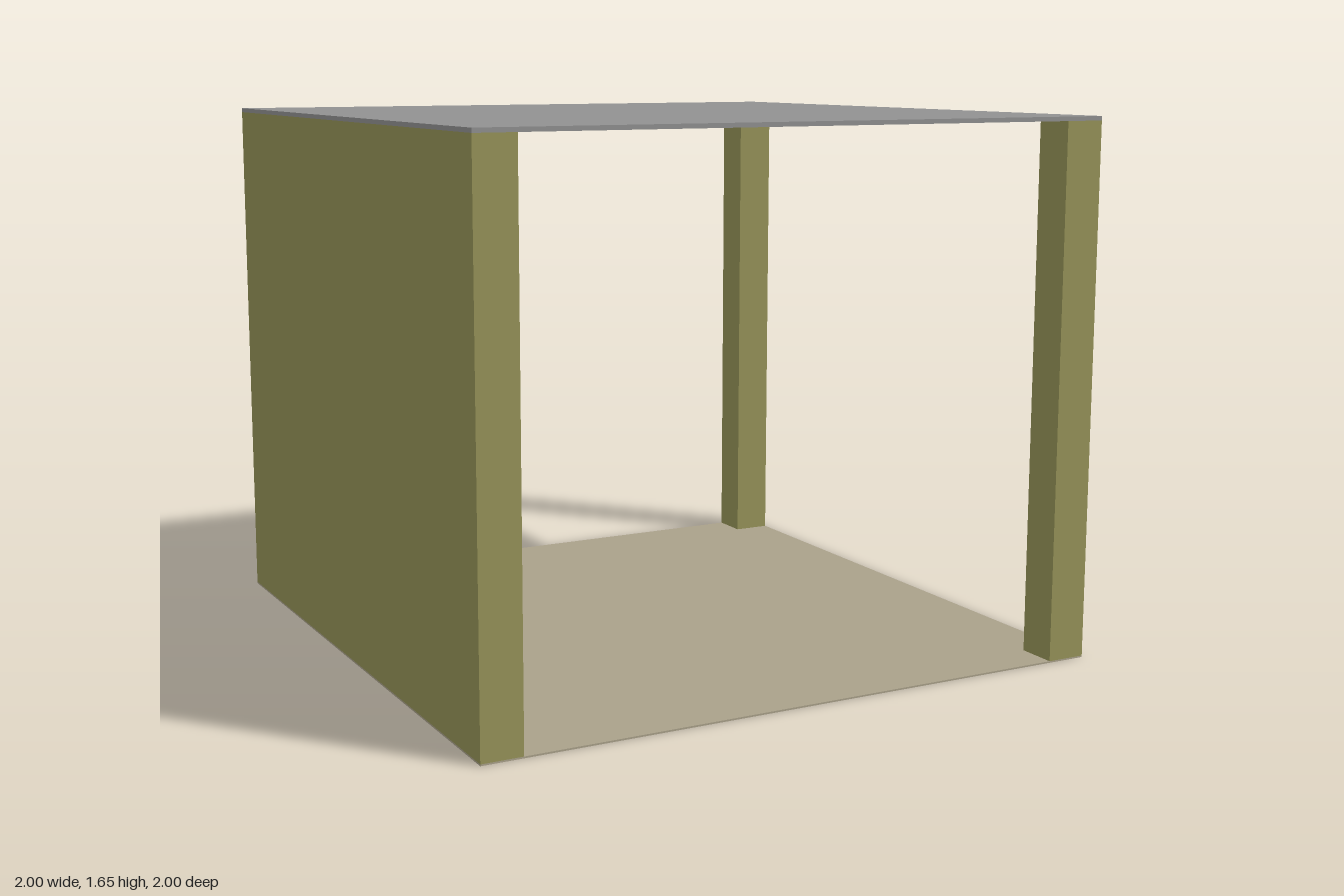
import * as THREE from 'three';

const material = (name, color) => {
  const m = new THREE.MeshStandardMaterial({ color });
  m.name = name;
  return m;
};

export function createModel() {
  const model = new THREE.Group();
  model.name = 'openShelter';

  const olive = material('olive wall', 0x979459);
  const grey = material('grey roof', 0x919191);
  const beige = material('beige floor', 0xaaa18a);
  const pale = material('pale panel', 0xcacaca);

  // Box given by its extents on each axis
  const addBox = (name, mat, [x0, x1], [y0, y1], [z0, z1]) => {
    const mesh = new THREE.Mesh(new THREE.BoxGeometry(x1 - x0, y1 - y0, z1 - z0), mat);
    mesh.position.set((x0 + x1) / 2, (y0 + y1) / 2, (z0 + z1) / 2);
    mesh.name = name;
    model.add(mesh);
  };

  const full = [-1, 1];
  const floorTop = 0.005, roofBottom = 1.637, roofTop = 1.65, thick = 0.125;
  const height = [floorTop, roofBottom];

  // Thin floor and roof slabs
  addBox('floor', beige, full, [0, floorTop], full);
  addBox('roof', grey, full, [roofBottom, roofTop], full);

  // Solid wall on one side, corner posts on the other
  addBox('sideWall', olive, [-1, -1 + thick], height, full);
  addBox('frontPost', olive, [1 - thick, 1], height, [1 - thick, 1]);
  addBox('backPost', olive, [1 - thick, 1], height, [-1, -1 + thick]);

  // Flat panel under the roof
  addBox('ceilingPanel', pale, [-0.125, 0.25], [1.622, roofBottom], [-0.25, 0.375]);

  return model;
}
